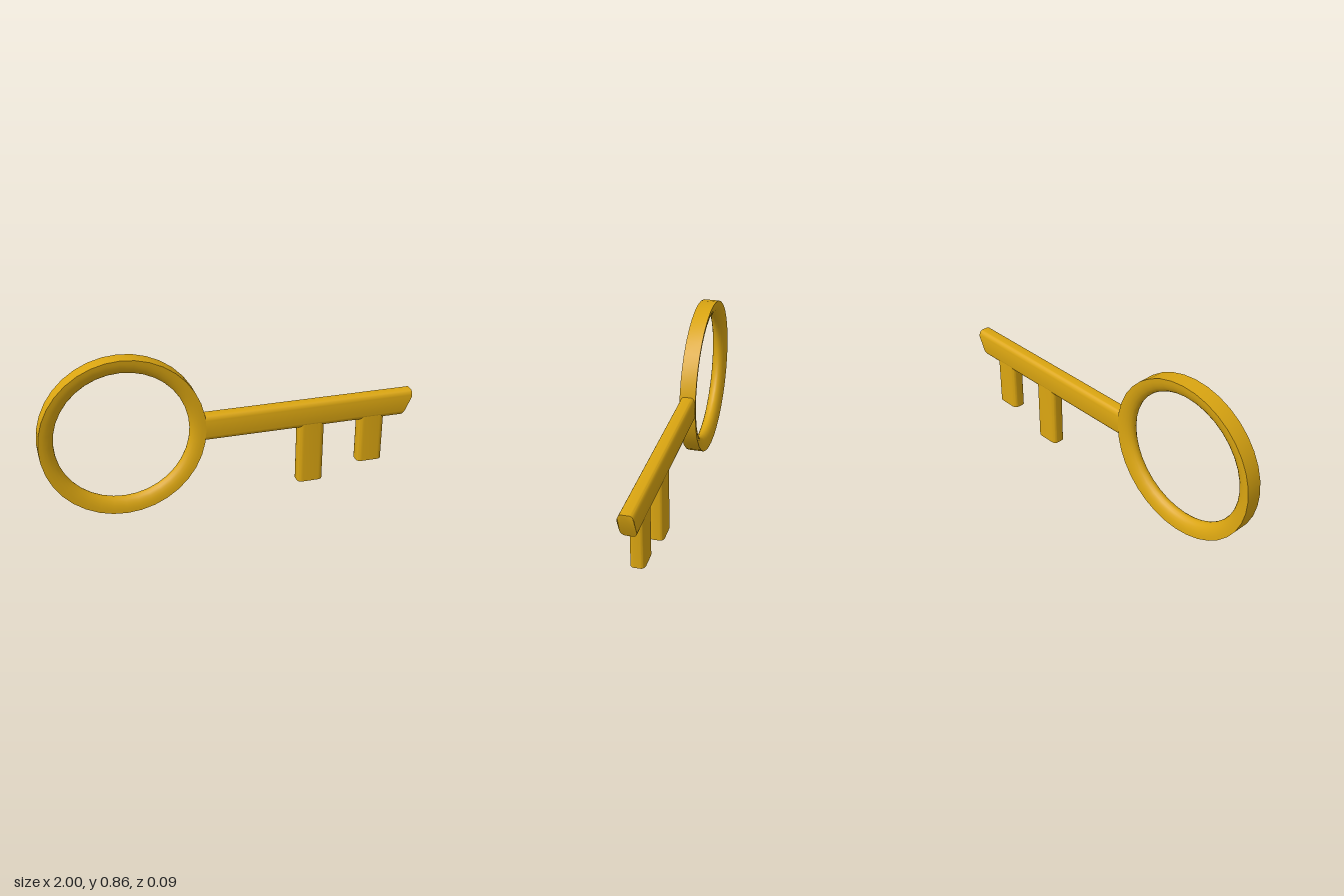
import * as THREE from 'three';
import { toCreasedNormals } from 'three/addons/utils/BufferGeometryUtils.js';

const gold = new THREE.MeshStandardMaterial({ color: 0xdaa511 });

// Rounded rectangle centred on the origin, with elliptical corners
function roundedShape(halfW, halfH, rx, ry) {
  const shape = new THREE.Shape();
  const corners = [[1, -1, -90], [1, 1, 0], [-1, 1, 90], [-1, -1, 180]];
  for (const [sx, sy, start] of corners) {
    for (let i = 0; i <= 6; i++) {
      const a = THREE.MathUtils.degToRad(start + i * 15);
      const x = sx * (halfW - rx) + rx * Math.cos(a);
      const y = sy * (halfH - ry) + ry * Math.sin(a);
      if (sx === 1 && sy === -1 && i === 0) shape.moveTo(x, y);
      else shape.lineTo(x, y);
    }
  }
  return shape;
}

function part(name, geometry, crease = 0.6) {
  const mesh = new THREE.Mesh(toCreasedNormals(geometry, crease), gold);
  mesh.name = name;
  return mesh;
}

// Ring bow: flat outer rim, rounded towards the hole
function makeBow() {
  const outer = 0.4275, inner = 0.348, half = 0.043;
  const profile = [new THREE.Vector2(outer, -half)];
  for (let i = 0; i <= 12; i++) {
    const a = (i / 12) * Math.PI;
    profile.push(new THREE.Vector2(outer - (outer - inner) * Math.sin(a), half * Math.cos(a)));
  }
  const geometry = new THREE.LatheGeometry(profile, 36).rotateX(Math.PI / 2);
  const mesh = part('bow', geometry);
  mesh.position.set(-0.5725, 0.4275, 0);
  return mesh;
}

// Shaft with a slanted tip
function makeShaft() {
  const x0 = -0.165, x1 = 1, yMid = 0.425;
  const geometry = new THREE.ExtrudeGeometry(roundedShape(0.04, 0.07, 0.022, 0.035), {
    depth: x1 - x0, bevelEnabled: false,
  });
  geometry.rotateY(Math.PI / 2).translate(x0, yMid, 0);
  const pos = geometry.attributes.position;
  for (let i = 0; i < pos.count; i++) {
    if (pos.getX(i) > 0.5) pos.setX(i, x1 - 0.476 * Math.max(0, 0.46 - pos.getY(i)));
  }
  return part('shaft', geometry);
}

// Tooth hanging below the shaft
function makeTooth(name, x, bottom) {
  const geometry = new THREE.ExtrudeGeometry(roundedShape(0.07, 0.037, 0.028, 0.02), {
    depth: 0.4 - bottom, bevelEnabled: false,
  });
  geometry.rotateX(-Math.PI / 2).translate(x, bottom, 0);
  return part(name, geometry);
}

export function createModel() {
  const key = new THREE.Group();
  key.name = 'key';
  key.add(
    makeBow(),
    makeShaft(),
    makeTooth('longTooth', 0.435, 0.03),
    makeTooth('shortTooth', 0.776, 0.105),
  );
  return key;
}
